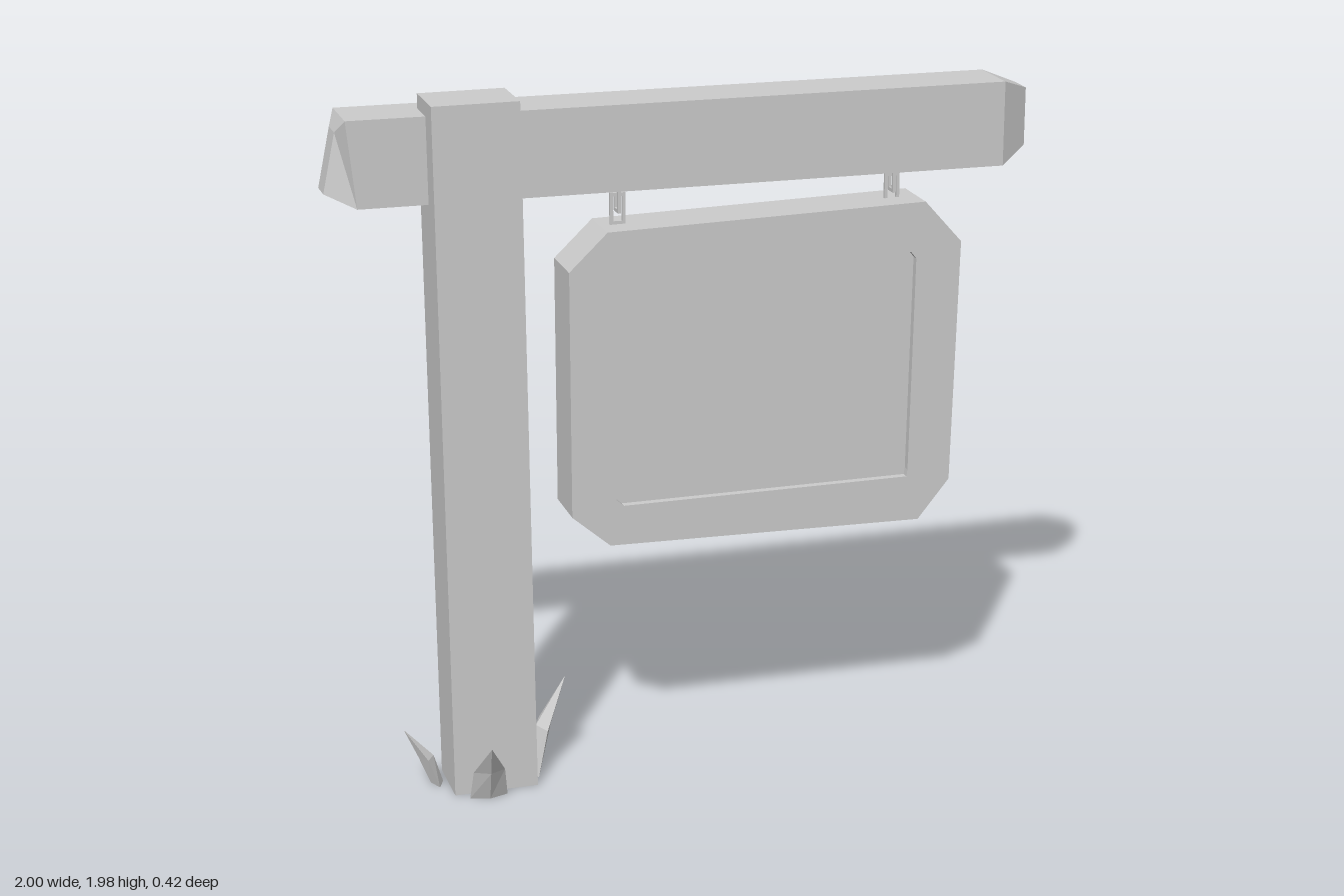
import * as THREE from 'three';

// Skin a list of cross-sections (equal-length loops of [x, y, z]) and cap both ends, faceted
function loft(rings) {
  const pos = [];
  const n = rings[0].length;
  const tri = (a, b, c) => pos.push(...a, ...b, ...c);
  for (let r = 0; r < rings.length - 1; r++) {
    const A = rings[r], B = rings[r + 1];
    for (let i = 0; i < n; i++) {
      const j = (i + 1) % n;
      tri(A[i], A[j], B[j]);
      tri(A[i], B[j], B[i]);
    }
  }
  const first = rings[0], last = rings[rings.length - 1];
  for (let i = 1; i < n - 1; i++) {
    tri(first[0], first[i + 1], first[i]);
    tri(last[0], last[i], last[i + 1]);
  }
  const g = new THREE.BufferGeometry();
  g.setAttribute('position', new THREE.Float32BufferAttribute(pos, 3));
  g.computeVertexNormals();
  return g;
}

const toShape = (pts) => new THREE.Shape(pts.map(([x, y]) => new THREE.Vector2(x, y)));

export function createModel() {
  const model = new THREE.Group();
  const grey = new THREE.MeshStandardMaterial({ color: 0xcccccc });
  const add = (name, geometry, parent = model) => {
    const mesh = new THREE.Mesh(geometry, grey);
    mesh.name = name;
    parent.add(mesh);
    return mesh;
  };

  // Upright post, leaning very slightly
  const postRing = (y, x0, x1) =>
    [[x0, y, -0.09], [x0, y, 0.085], [x1, y, 0.085], [x1, y, -0.09]];
  add('post', loft([postRing(0, -0.715, -0.475), postRing(1.98, -0.73, -0.49)]));

  // Crossbeam with tapered ends; the left end is cut at a slant
  const beamRing = (xBottom, xTop, y0, y1, z0, z1) =>
    [[xBottom, y0, z0], [xTop, y1, z0], [xTop, y1, z1], [xBottom, y0, z1]];
  add('crossbeam', loft([
    beamRing(-1, -0.965, 1.735, 1.9, -0.115, -0.04),
    beamRing(-0.92, -0.945, 1.7, 1.94, -0.16, 0.012),
    beamRing(0.92, 0.92, 1.69, 1.93, -0.16, 0.012),
    beamRing(1, 1, 1.735, 1.9, -0.11, -0.03),
  ]));

  // Hanging board: chamfered frame around a recessed panel
  const board = new THREE.Group();
  board.name = 'signBoard';
  model.add(board);
  const front = 0.014, back = -0.148, recess = 0.022;
  const frame = toShape([
    [-0.345, 0.77], [-0.235, 0.675], [0.69, 0.655], [0.8, 0.77],
    [0.8, 1.48], [0.69, 1.603], [-0.235, 1.585], [-0.345, 1.48],
  ]);
  frame.holes.push(toShape([
    [-0.217, 0.81], [-0.195, 0.79], [0.652, 0.79], [0.655, 0.81],
    [0.666, 1.44], [0.65, 1.46], [-0.18, 1.46], [-0.196, 1.44],
  ]));
  const frameGeo = new THREE.ExtrudeGeometry(frame, { depth: front - back, bevelEnabled: false });
  frameGeo.translate(0, 0, back);
  // Hand-cut look: the front lower right corner is pulled in a little
  const p = frameGeo.attributes.position;
  for (let i = 0; i < p.count; i++) {
    if (p.getZ(i) > 0 && p.getX(i) > 0.79 && p.getY(i) < 1) p.setX(i, 0.783);
  }
  frameGeo.computeVertexNormals();
  add('boardFrame', frameGeo, board);
  const panel = new THREE.BoxGeometry(0.92, 0.72, front - back - 2 * recess);
  panel.translate(0.224, 1.125, (front + back) / 2);
  add('boardPanel', panel, board);

  // Short chains: two interlocked rectangular links each
  const link = toShape([[-0.022, -0.045], [0.022, -0.045], [0.022, 0.045], [-0.022, 0.045]]);
  link.holes.push(toShape([[-0.013, -0.035], [0.013, -0.035], [0.013, 0.035], [-0.013, 0.035]]));
  const linkGeo = new THREE.ExtrudeGeometry(link, { depth: 0.009, bevelEnabled: false });
  linkGeo.translate(0, 0, -0.0045);
  for (const x of [-0.185, 0.617]) {
    const chain = new THREE.Group();
    chain.name = 'chain';
    chain.position.set(x, 0, -0.066);
    model.add(chain);
    add('lowerLink', linkGeo, chain).position.y = 1.63;
    const upper = add('upperLink', linkGeo, chain);
    upper.position.y = 1.665;
    upper.rotation.y = Math.PI / 2;
  }

  // Grass blades around the foot: base point, outward angle, half width, reach, height, sideways drift
  const blade = (x, z, angle, width, reach, height, drift) => {
    const s = Math.sin(angle), c = Math.cos(angle);
    const ring = (out, y, side, t, w) =>
      [[-t, 0], [0, -w], [t, 0], [0, w]].map(([o, d]) =>
        [x + (out + o) * s + (side + d) * c, y, z + (out + o) * c - (side + d) * s]);
    add('grassBlade', loft([
      ring(0, 0, 0, 0.018, width * 0.9),
      ring(reach * 0.33, height * 0.5, drift * 0.4, 0.022, width * 0.75),
      ring(reach, height, drift, 0.001, 0.001),
    ]));
  };
  blade(-0.625, 0.115, 0, 0.06, 0.095, 0.185, -0.01);
  blade(-0.645, -0.09, Math.PI, 0.05, 0.12, 0.25, 0);
  blade(-0.46, -0.025, Math.PI / 2, 0.07, 0.11, 0.25, 0.055);
  blade(-0.745, -0.02, -Math.PI / 2, 0.045, 0.085, 0.16, -0.02);

  return model;
}
